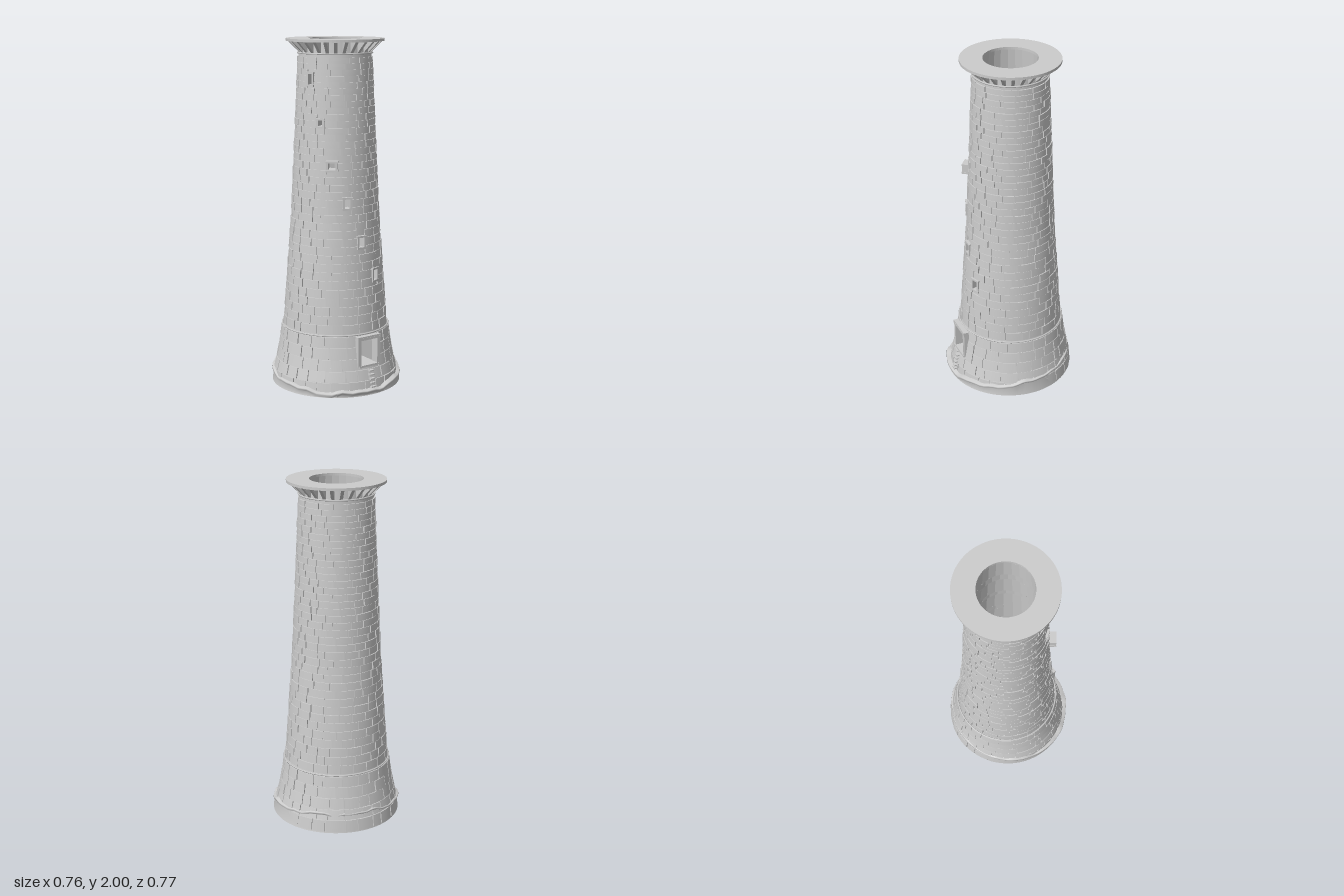
import * as THREE from 'three';
import { mergeGeometries } from 'three/addons/utils/BufferGeometryUtils.js';

const V2 = (x, y) => new THREE.Vector2(x, y);

// outer and inner wall profiles as [height, radius]
const OUTER = [[0, 0.372], [0.08, 0.362], [0.14, 0.347], [0.24, 0.327], [0.338, 0.314], [0.345, 0.305],
  [1.0, 0.256], [1.5, 0.232], [1.92, 0.213], [1.986, 0.211]];
const INNER = [[0, 0.362], [0.14, 0.325], [0.4, 0.265], [1.986, 0.152]];

function radiusAt(profile, y) {
  for (let i = 1; i < profile.length; i++) {
    const [y0, r0] = profile[i - 1], [y1, r1] = profile[i];
    if (y <= y1) return r0 + (r1 - r0) * (y - y0) / (y1 - y0);
  }
  return profile[profile.length - 1][1];
}

function seeded(seed) {
  return () => {
    seed = (seed * 16807) % 2147483647;
    return seed / 2147483647;
  };
}

export function createModel() {
  const stone = new THREE.MeshStandardMaterial({ color: 0xcccccc });
  stone.name = 'greyStone';
  const model = new THREE.Group();
  model.name = 'stoneTower';
  const tower = new THREE.Group();
  tower.name = 'tower';
  tower.position.set(-0.005, 0, -0.01);
  model.add(tower);
  const rand = seeded(4217);

  const add = (parent, geometry, name, x = 0, y = 0, z = 0) => {
    const mesh = new THREE.Mesh(geometry, stone);
    mesh.name = name;
    mesh.position.set(x, y, z);
    parent.add(mesh);
    return mesh;
  };
  const box = (parent, name, w, h, d, x, y, z) => add(parent, new THREE.BoxGeometry(w, h, d), name, x, y, z);

  // door and the windows winding up the wall: x, centre height, clear width, clear height, projection
  const FRAME = 0.011;
  const openings = [
    ['door', 0.18, 0.238, 0.112, 0.15, 0.012],
    ['window', 0.22, 0.665, 0.034, 0.06, 0.006],
    ['window', 0.14, 0.865, 0.034, 0.055, 0.006],
    ['window', 0.06, 1.09, 0.034, 0.052, 0.006],
    ['window', -0.025, 1.305, 0.04, 0.038, 0.035],
    ['window', -0.09, 1.54, 0.026, 0.032, 0.006],
    ['window', -0.145, 1.78, 0.026, 0.058, 0.006],
  ].map(([name, x, y, w, h, out]) => {
    const r = radiusAt(OUTER, y), rIn = radiusAt(INNER, y);
    const half = w / 2 + FRAME * 0.6;
    return {
      name, y, w, h, out, r, rIn, phi: Math.asin((x + 0.005) / r),
      y0: y - h / 2 - FRAME * 0.6, y1: y + h / 2 + FRAME * 0.6,
      halfOut: Math.asin(half / r), halfIn: Math.asin(half / rIn),
    };
  });

  // wall shells in bands, each band left open where an opening passes through
  function shell(profile, inset, segments, inward) {
    const parts = [];
    const band = (y0, y1, phi, half) => {
      const ys = [y0, ...profile.map(p => p[0]).filter(y => y > y0 && y < y1), y1];
      const pts = ys.map(y => V2(radiusAt(profile, y) - inset, y));
      if (inward) pts.reverse();
      const g = new THREE.LatheGeometry(pts, segments, phi + half, Math.PI * 2 - 2 * half);
      parts.push(g);
    };
    let y = 0;
    for (const o of openings) {
      band(y, o.y0, 0, 0);
      band(o.y0, o.y1, o.phi, inward ? o.halfIn : o.halfOut);
      y = o.y1;
    }
    band(y, 1.986, 0, 0);
    return mergeGeometries(parts);
  }
  add(tower, shell(OUTER, 0.007, 64, false), 'wallCore');
  const inside = shell(INNER, 0, 24, true).toNonIndexed();
  inside.computeVertexNormals();
  add(tower, inside, 'innerWall');

  // one curved block, bent from a box
  function brick(a0, a1, y0, y1, bulge) {
    const g = new THREE.BoxGeometry(1, 1, 1, 4, 1, 1);
    const p = g.attributes.position;
    for (let i = 0; i < p.count; i++) {
      const a = a0 + (a1 - a0) * (p.getX(i) + 0.5);
      const y = y0 + (y1 - y0) * (p.getY(i) + 0.5);
      const r = radiusAt(OUTER, y) + (p.getZ(i) > 0 ? bulge : -0.012);
      p.setXYZ(i, r * Math.sin(a), y, r * Math.cos(a));
    }
    g.computeVertexNormals();
    return g;
  }

  // courses of blocks, shallower towards the top
  const courses = [[0.008, 0.078], [0.08, 0.14], [0.14, 0.205], [0.205, 0.27], [0.27, 0.334]];
  for (let y = 0.345; y < 1.9;) {
    const h = 0.053 - 0.021 * (y - 0.34) / 1.58;
    courses.push([y, Math.min(y + h, 1.92)]);
    y += h;
  }
  const bricks = [];
  for (const [y0, y1] of courses) {
    const r = radiusAt(OUTER, (y0 + y1) / 2);
    const o = openings.find(e => e.y1 > y0 + 0.008 && e.y0 < y1 - 0.008);
    const start = o ? o.phi + o.halfOut : rand() * Math.PI * 2;
    const span = Math.PI * 2 - (o ? 2 * o.halfOut : 0);
    const n = Math.round(span * r / 0.088);
    const cuts = [0];
    for (let i = 1; i < n; i++) cuts.push((i + (rand() - 0.5) * 0.55) / n);
    cuts.push(1);
    for (let i = 0; i < n; i++) {
      const gap = 0.0035 / r;
      bricks.push(brick(start + cuts[i] * span + gap, start + cuts[i + 1] * span - gap,
        y0 + 0.0012, y1 - 0.0012, (rand() - 0.5) * 0.004));
    }
  }
  add(tower, mergeGeometries(bricks), 'stoneCourses');

  // framed openings: jambs, lintel and sill through the wall
  for (const o of openings) {
    const g = new THREE.Group();
    g.name = o.name;
    g.rotation.y = o.phi;
    tower.add(g);
    const back = o.rIn - 0.012, front = o.r + o.out;
    const d = front - back, z = (front + back) / 2;
    const full = o.w + 2 * FRAME;
    for (const s of [-1, 1]) box(g, o.name + 'Jamb', FRAME, o.h, d, s * (o.w + FRAME) / 2, o.y, z);
    box(g, o.name + 'Lintel', full + 0.006, FRAME, d + 0.004, 0, o.y + (o.h + FRAME) / 2, z);
    box(g, o.name + 'Sill', full + 0.006, FRAME, d + 0.006, 0, o.y - (o.h + FRAME) / 2, z);
    if (o.name === 'door') {
      // heavier surround, inner landing and the rungs below
      for (const s of [-1, 1]) box(g, 'doorPost', 0.02, 0.16, 0.03, s * 0.068, o.y, o.r - 0.004);
      box(g, 'doorHead', 0.16, 0.022, 0.03, 0, 0.322, o.r - 0.002);
      box(g, 'landing', 0.125, 0.014, 0.2, 0, 0.155, 0.236);
      for (let i = 0; i < 5; i++) {
        const y = 0.04 + i * 0.023;
        box(g, 'rung', 0.03, 0.007, 0.024, 0, y, radiusAt(OUTER, y) + 0.004);
      }
    }
  }

  // short inner flight of eight steps
  const stairs = new THREE.Group();
  stairs.name = 'innerStairs';
  stairs.position.set(0.004, 0.15, 0.021);
  stairs.rotation.y = 0.56;
  model.add(stairs);
  for (let i = 0; i < 8; i++) box(stairs, 'step', 0.0206, 0.022, 0.07, 0.072 - i * 0.0205, 0.011 + i * 0.016, 0);

  // thin belts at the top of the plinth and at the neck
  for (const [y, r, t] of [[0.34, 0.311, 0.005], [1.92, 0.212, 0.005]]) {
    add(tower, new THREE.TorusGeometry(r, t, 6, 64).rotateX(Math.PI / 2), 'belt', 0, y, 0);
  }

  // fins carrying the top gallery
  const fin = new THREE.Shape();
  fin.moveTo(0, 0);
  fin.quadraticCurveTo(0.03, 0.03, 0.066, 0.065);
  fin.lineTo(0, 0.065);
  const finGeometry = new THREE.ExtrudeGeometry(fin, { depth: 0.018, bevelEnabled: false, curveSegments: 4 });
  finGeometry.translate(0.205, 1.922, -0.009);
  for (let i = 0; i < 28; i++) {
    add(tower, finGeometry, 'galleryFin').rotation.y = i / 28 * Math.PI * 2;
  }

  // flat gallery ring with its central hole
  const ring = new THREE.Shape().absarc(0, 0, 0.279, 0, Math.PI * 2);
  ring.holes.push(new THREE.Path().absarc(0, 0, 0.152, 0, Math.PI * 2, true));
  const ringGeometry = new THREE.ExtrudeGeometry(ring, { depth: 0.015, bevelEnabled: false, curveSegments: 40 });
  add(tower, ringGeometry.rotateX(-Math.PI / 2), 'galleryRing', 0, 1.985, 0);

  // smooth footing with an uneven ridge that climbs towards the back
  const footing = new THREE.PlaneGeometry(1, 1, 80, 4);
  const p = footing.attributes.position;
  for (let i = 0; i < p.count; i++) {
    const a = (p.getX(i) + 0.5) * Math.PI * 2;
    const v = Math.round((p.getY(i) + 0.5) * 4);
    const wave = 0.006 * Math.sin(7 * a) + 0.004 * Math.sin(13 * a + 1) + 0.003 * Math.sin(23 * a);
    const h = 0.072 - 0.045 * Math.cos(a) - 0.008 * Math.sin(a) + wave;
    const wall = radiusAt(OUTER, h);
    const lip = wall + 0.016 + wave * 0.5;
    const y = [0, h - 0.02, h - 0.008, h, h + 0.006][v];
    const r = [0.377, wall + 0.006, lip, lip - 0.002, wall - 0.02][v];
    p.setXYZ(i, r * Math.sin(a), Math.max(y, 0), r * Math.cos(a));
  }
  footing.computeVertexNormals();
  add(model, footing, 'footing');

  return model;
}
